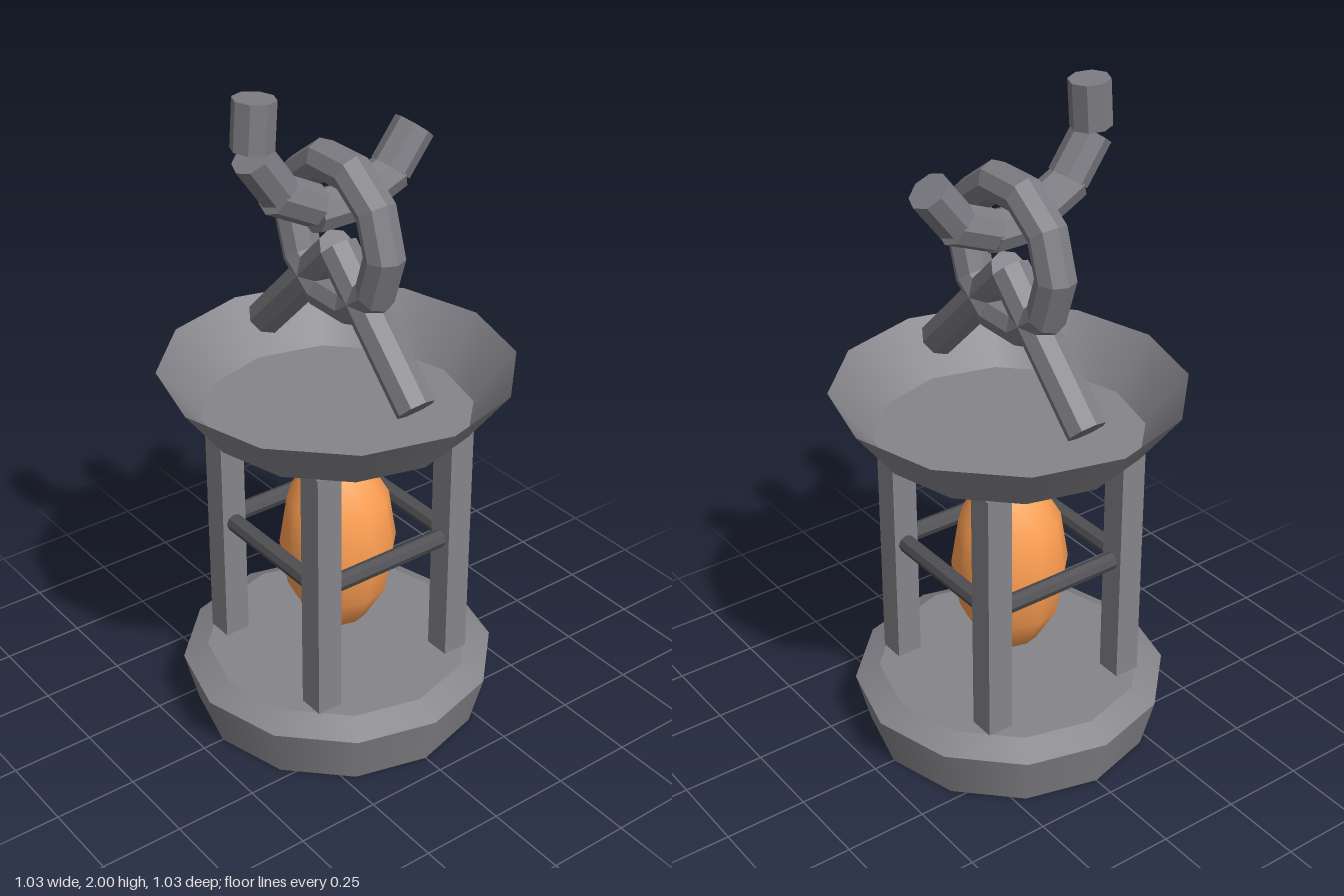
import * as THREE from 'three';

const grey = new THREE.MeshStandardMaterial({ color: 0x85858a });
const faceted = new THREE.MeshStandardMaterial({ color: 0x7c7c82, flatShading: true });
const dark = new THREE.MeshStandardMaterial({ color: 0x505054, flatShading: true });
const open = new THREE.MeshStandardMaterial({ color: 0x85858a, side: THREE.DoubleSide });
const orange = new THREE.MeshStandardMaterial({ color: 0xff9f52 });

export function createModel() {
  const model = new THREE.Group();

  const add = (name, geometry, material, x = 0, y = 0, z = 0) => {
    const mesh = new THREE.Mesh(geometry, material);
    mesh.name = name;
    mesh.position.set(x, y, z);
    model.add(mesh);
    return mesh;
  };

  // Straight rod between two points
  const rod = (name, from, to, radius, material) => {
    const a = new THREE.Vector3(...from), b = new THREE.Vector3(...to);
    const dir = b.clone().sub(a);
    const mesh = add(name, new THREE.CylinderGeometry(radius, radius, dir.length(), 8), material);
    mesh.position.copy(a).add(b).multiplyScalar(0.5);
    mesh.quaternion.setFromUnitVectors(new THREE.Vector3(0, 1, 0), dir.normalize());
  };

  // Twelve-sided base with a bevelled top
  add('base', new THREE.CylinderGeometry(0.474, 0.433, 0.16, 12), grey, 0, 0.08, 0);
  add('baseBevel', new THREE.CylinderGeometry(0.4, 0.474, 0.04, 12), grey, 0, 0.18, 0);

  // Open dish-shaped roof
  add('roofWall', new THREE.CylinderGeometry(0.514, 0.395, 0.155, 12, 1, true), open, 0, 1.072, 0);
  const floor = new THREE.CircleGeometry(0.395, 12).rotateX(-Math.PI / 2);
  add('roofFloor', floor, open, 0, 0.995, 0);

  // Posts, and the small stepped loops under the roof
  for (const sx of [-1, 1]) {
    for (const sz of [-1, 1]) {
      add('post', new THREE.BoxGeometry(0.08, 0.795, 0.08), grey, sx * 0.237, 0.597, sz * 0.237);
      for (const [radius, y] of [[0.029, 0.93], [0.02, 0.912]]) {
        const loop = new THREE.TorusGeometry(radius, 0.012, 6, 8).rotateX(Math.PI / 2);
        const mesh = add('smallLoop', loop, dark, sx * 0.065, y, sz * 0.065);
        mesh.rotation.set(-sz * 0.15, 0, sx * 0.15);
      }
    }
  }

  // Guard rails between the posts
  for (const s of [-1, 1]) {
    rod('guardRail', [-0.22, 0.6, s * 0.237], [0.22, 0.6, s * 0.237], 0.027, dark);
    rod('guardRail', [s * 0.237, 0.6, -0.22], [s * 0.237, 0.6, 0.22], 0.027, dark);
  }

  // Glowing core
  const core = new THREE.SphereGeometry(1, 12, 6).scale(0.175, 0.302, 0.175);
  add('core', core, orange, 0, 0.558, 0);

  // Slanted braces that meet inside the ring
  for (const s of [-1, 1]) {
    rod('brace', [s * 0.35, 1.155, 0], [0, 1.505, 0], 0.058, faceted);
  }

  // Hanging ring
  const ring = new THREE.TorusGeometry(0.205, 0.058, 8, 10);
  add('ring', ring, faceted, 0, 1.55, 0);

  // Hook made of short rods, as [z, y] start and end
  const hook = [
    [0.265, 1.995, 0.275, 1.86],
    [0.278, 1.84, 0.197, 1.725],
    [0.21, 1.72, 0.08, 1.652],
    [0.085, 1.632, -0.07, 1.632],
    [-0.06, 1.637, -0.19, 1.69],
    [-0.18, 1.695, -0.262, 1.8],
  ];
  for (const [z0, y0, z1, y1] of hook) {
    rod('hookSegment', [0, y0, z0], [0, y1, z1], 0.06, faceted);
  }

  return model;
}
